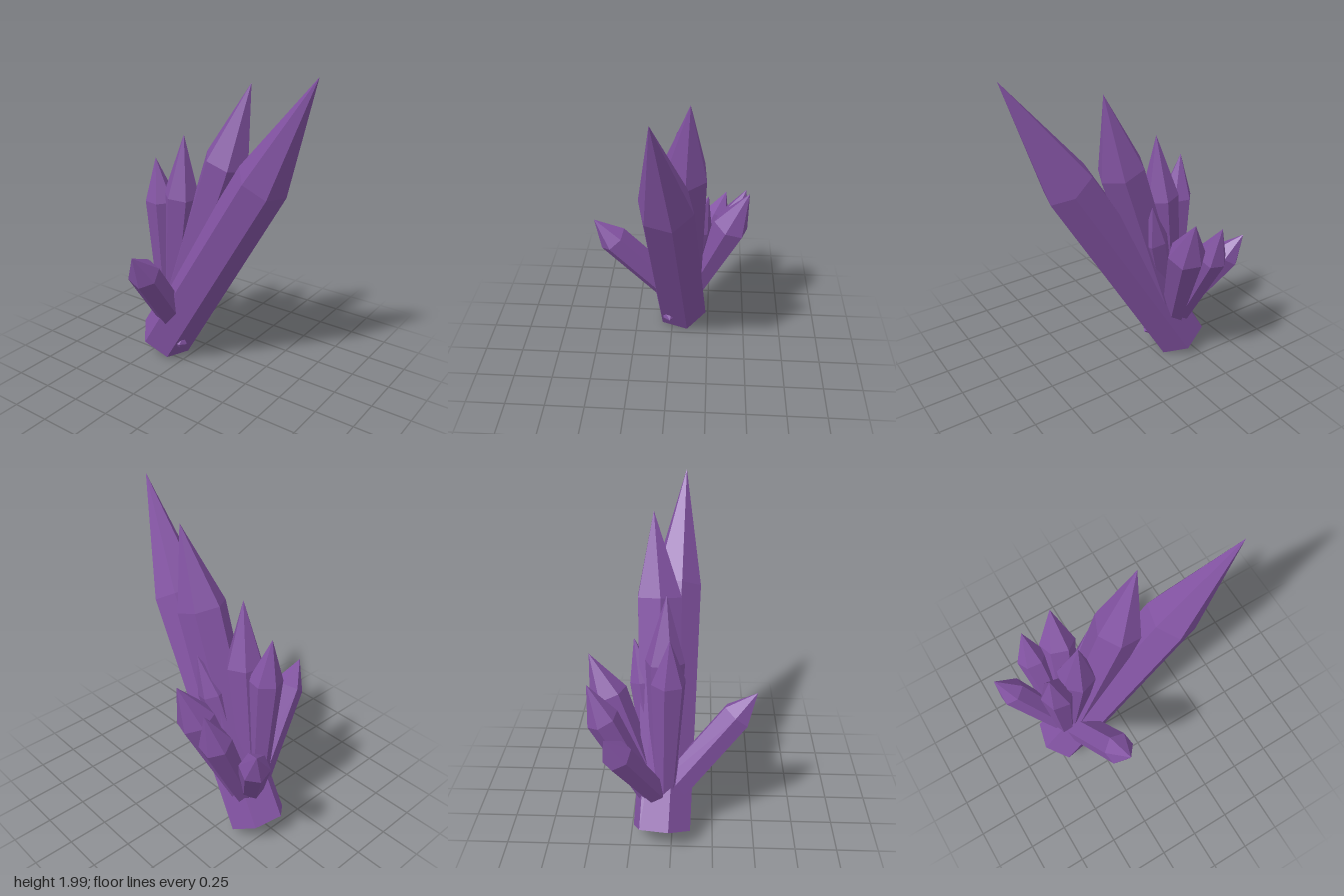
import * as THREE from 'three';

const SIDES = 6;

// Six-sided crystal: base ring, shoulder ring, then a point; phase in degrees from the front
function crystalGeometry(base, shoulder, tip, r0, r1, phase) {
  const b = new THREE.Vector3(...base);
  const s = new THREE.Vector3(...shoulder);
  const t = new THREE.Vector3(...tip);
  const axis = s.clone().sub(b).normalize();
  const front = new THREE.Vector3(0, 0, 1);
  front.addScaledVector(axis, -front.dot(axis)).normalize();
  const side = axis.clone().cross(front);
  const corner = (centre, r, i) => {
    const a = THREE.MathUtils.degToRad(phase) + (i / SIDES) * Math.PI * 2;
    return centre.clone()
      .addScaledVector(front, r * Math.cos(a))
      .addScaledVector(side, r * Math.sin(a));
  };
  const points = [];
  for (let i = 0; i < SIDES; i++) {
    const b0 = corner(b, r0, i), b1 = corner(b, r0, i + 1);
    const s0 = corner(s, r1, i), s1 = corner(s, r1, i + 1);
    points.push(b0, b1, s1, b0, s1, s0); // shaft
    points.push(s0, s1, t);              // point
    points.push(b, b1, b0);              // base cap
  }
  const geometry = new THREE.BufferGeometry().setFromPoints(points);
  geometry.computeVertexNormals();
  return geometry;
}

export function createModel() {
  const group = new THREE.Group();
  group.name = 'crystalCluster';
  const purple = new THREE.MeshStandardMaterial({ color: 0x8353a3, flatShading: true });
  purple.name = 'amethystPurple';

  // name, base, shoulder, tip, base radius, shoulder radius, phase
  const crystals = [
    ['mainCrystal', [-0.44, 0.1, -0.06], [0.34, 1.37, 0], [0.69, 2, 0.055], 0.18, 0.16, -15],
    ['secondCrystal', [-0.4, 0.13, -0.07], [0.04, 1.42, -0.085], [0.175, 1.89, -0.12], 0.13, 0.145, 35],
    ['uprightCrystal', [-0.38, 0.2, -0.05], [-0.27, 1.16, -0.04], [-0.24, 1.55, -0.03], 0.06, 0.115, 50],
    ['leaningUprightCrystal', [-0.4, 0.2, -0.04], [-0.415, 1.11, -0.015], [-0.445, 1.38, -0.005], 0.05, 0.1, 20],
    ['frontCrystal', [-0.35, 0.27, -0.05], [-0.235, 0.79, 0.38], [-0.22, 0.935, 0.495], 0.1, 0.098, 20],
    ['backCrystal', [-0.35, 0.25, -0.1], [-0.23, 0.92, -0.375], [-0.2, 1.165, -0.48], 0.07, 0.115, 10],
    ['backMiddleCrystal', [-0.38, 0.22, -0.09], [-0.41, 0.86, -0.39], [-0.41, 1.08, -0.47], 0.06, 0.097, 20],
    ['sideCrystal', [-0.38, 0.3, -0.07], [-0.62, 0.76, -0.29], [-0.69, 0.905, -0.35], 0.075, 0.09, 15],
    ['buriedCrystal', [-0.36, 0.2, -0.06], [-0.14, 0.96, -0.17], [-0.08, 1.21, -0.23], 0.06, 0.085, 15],
    // small chip near the foot
    ['footChip', [-0.36, 0.17, 0.03], [-0.24, 0.15, 0.02], [-0.21, 0.145, 0.01], 0.035, 0.035, 0],
  ];
  for (const [name, ...shape] of crystals) {
    const mesh = new THREE.Mesh(crystalGeometry(...shape), purple);
    mesh.name = name;
    group.add(mesh);
  }
  return group;
}
